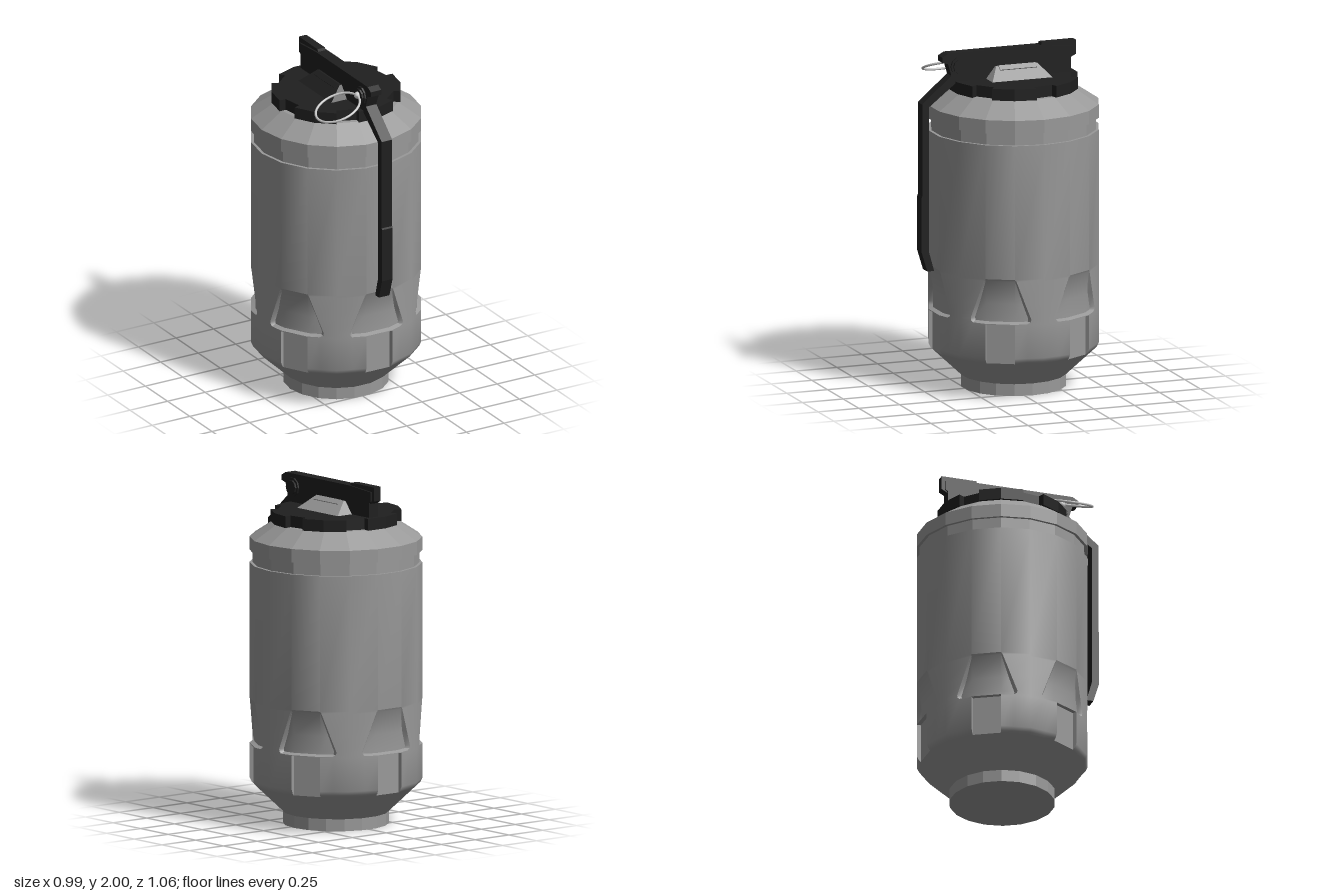
import * as THREE from 'three';
import { toCreasedNormals } from 'three/addons/utils/BufferGeometryUtils.js';

const SIDES = 18, R = 0.495, AXIS_Z = -0.045;
const rad = THREE.MathUtils.degToRad;

const shellMat = new THREE.MeshStandardMaterial({ color: 0x999999 });
const shellFlat = new THREE.MeshStandardMaterial({ color: 0x999999, flatShading: true });
const darkMat = new THREE.MeshStandardMaterial({ color: 0x1f1f1f, flatShading: true });
const wireMat = new THREE.MeshStandardMaterial({ color: 0xcccccc });

function part(parent, name, geometry, material, x = 0, y = 0, z = 0) {
  const mesh = new THREE.Mesh(geometry, material);
  mesh.name = name;
  mesh.position.set(x, y, z);
  parent.add(mesh);
  return mesh;
}

// Outline given as [z, y] pairs, extruded to a width across x
function sideExtrude(points, width) {
  const shape = new THREE.Shape(points.map(p => new THREE.Vector2(...p)));
  return new THREE.ExtrudeGeometry(shape, { depth: width, bevelEnabled: false })
    .translate(0, 0, -width / 2).rotateY(-Math.PI / 2);
}

// Body wall: one 60 degree sector with a pocket and a notch, repeated six times
function bodyGeometry() {
  const S = R * Math.sin(rad(30)), F = R * Math.sin(rad(10));
  // [y, radius, pocket outer half width, inner half width, pocket depth, notch depth]
  const rows = [
    [0.07, 0.305, 0.163, 0.152, 0, 0],
    [0.227, 0.472, 0.163, 0.152, 0, 0],
    [0.238, 0.484, 0.163, 0.152, 0, 0.012],
    [0.262, R, 0.163, 0.152, 0, 0.023],
    [0.458, R, 0.163, 0.152, 0, 0.023],
    [0.46, R, 0.163, 0.152, 0, 0],
    [0.464, R, 0.163, 0.152, 0, 0],
    [0.474, R, 0.173, 0.159, 0.026, 0.026],
    [0.49, R, 0.176, 0.163, 0.026, 0.026],
    [0.58, R, 0.143, 0.131, 0.026, 0.026],
    [0.714, R, 0.095, 0.087, 0.008, 0.008],
    [0.727, R, 0.088, 0.0862, 0, 0],
    [1.515, R, 0.088, 0.0862, 0, 0],
  ];
  // Point on the polygonal wall, pushed inward by depth
  const onWall = (x, y, r, depth) => {
    const ax = Math.abs(x);
    const t = Math.max(0, (ax - F) / (S - F));
    const z = R * THREE.MathUtils.lerp(Math.cos(rad(10)), Math.cos(rad(30)), t);
    const k = (r - depth) / R;
    return new THREE.Vector3(x * k, y, z * k);
  };
  const grid = rows.map(([y, r, xo, xi, dp, dn]) => {
    const half = [[S, 0], [xo, 0], [xi, dp], [F, dp], [F, dn]];
    const left = half.map(([x, d]) => onWall(-x, y, r, d));
    const right = half.map(([x, d]) => onWall(x, y, r, d)).reverse();
    return [...left, ...right];
  });
  const up = new THREE.Vector3(0, 1, 0), positions = [];
  const tri = new THREE.Triangle();
  for (let s = 0; s < 6; s++) {
    const ring = grid.map(row => row.map(p => p.clone().applyAxisAngle(up, s * Math.PI / 3)));
    for (let j = 0; j < ring.length - 1; j++) {
      for (let i = 0; i < ring[j].length - 1; i++) {
        const a = ring[j][i], b = ring[j][i + 1], c = ring[j + 1][i + 1], d = ring[j + 1][i];
        for (const t of [[a, b, c], [a, c, d]]) {
          if (tri.set(...t).getArea() < 1e-8) continue;
          t.forEach(p => positions.push(p.x, p.y, p.z));
        }
      }
    }
  }
  const geometry = new THREE.BufferGeometry();
  geometry.setAttribute('position', new THREE.Float32BufferAttribute(positions, 3));
  return toCreasedNormals(geometry, 0.6);
}

// Cap plate outline: six 20 degree notches around the rim
function capGeometry() {
  const points = [];
  for (let k = 0; k < 6; k++) {
    for (const [r, a] of [[0.375, 0], [0.335, 0], [0.335, 20], [0.375, 20], [0.375, 40]]) {
      const t = rad(k * 60 + a);
      points.push(new THREE.Vector2(r * Math.cos(t), r * Math.sin(t)));
    }
  }
  return new THREE.ExtrudeGeometry(new THREE.Shape(points), { depth: 0.068, bevelEnabled: false })
    .rotateX(-Math.PI / 2);
}

// Sloped block beside the bar: a box whose top corners are drawn in
function wedgeGeometry(side) {
  const g = new THREE.BoxGeometry(1, 1, 1), p = g.attributes.position;
  for (let i = 0; i < p.count; i++) {
    const top = p.getY(i) > 0, outer = p.getX(i) * side > 0, front = p.getZ(i) > 0;
    p.setXYZ(i, outer ? side * (top ? 0.05 : 0.145) : 0, top ? 1.89 : 1.815,
      front ? (top ? 0.08 : 0.14) : (top ? -0.175 : -0.235));
  }
  g.computeVertexNormals();
  return g;
}

export function createModel() {
  const model = new THREE.Group();
  model.name = 'canister';

  // Canister shell
  part(model, 'base', new THREE.CylinderGeometry(0.305, 0.305, 0.07, SIDES, 1, false, Math.PI / 2),
    shellFlat, 0, 0.035, AXIS_Z);
  part(model, 'body', bodyGeometry(), shellMat, 0, 0, AXIS_Z);
  const neck = [[R, 1.515], [0.478, 1.515], [0.478, 1.585], [R, 1.585], [R, 1.663], [0.36, 1.752], [0, 1.77]];
  part(model, 'shoulder', new THREE.LatheGeometry(neck.map(p => new THREE.Vector2(...p)), SIDES, Math.PI / 2),
    shellFlat, 0, 0, AXIS_Z);

  // Cap with sloped blocks and a raised strip on each
  part(model, 'capPlate', capGeometry(), darkMat, 0, 1.752, AXIS_Z);
  for (const side of [1, -1]) {
    const mat = side > 0 ? shellFlat : darkMat;
    const name = side > 0 ? 'left' : 'right';
    part(model, name + 'CapBlock', wedgeGeometry(side), mat);
    const strip = part(model, name + 'CapStrip', new THREE.BoxGeometry(0.034, 0.012, 0.225), mat,
      side * 0.062, 1.881, -0.047);
    strip.rotation.z = -side * 0.668;
  }

  // Top bar and safety lever
  part(model, 'topBar', sideExtrude([
    [-0.385, 1.8], [0.3, 1.8], [0.345, 1.84], [0.37, 1.925], [0.405, 1.935], [0.405, 1.965],
    [0.37, 1.985], [-0.205, 1.985], [-0.4, 1.97], [-0.4, 1.915], [-0.385, 1.905],
  ], 0.07), darkMat);
  part(model, 'rearTab', sideExtrude([
    [-0.42, 1.918], [-0.385, 1.9], [-0.24, 1.95], [-0.205, 1.985], [-0.21, 2], [-0.42, 2],
  ], 0.05), darkMat);
  part(model, 'lever', sideExtrude([
    [0.3, 1.8], [0.322, 1.81], [0.487, 1.68], [0.487, 0.83], [0.455, 0.715], [0.497, 0.715],
    [0.532, 0.83], [0.532, 1.15], [0.528, 1.16], [0.528, 1.7], [0.35, 1.855], [0.3, 1.86],
  ], 0.07), darkMat);

  // Pivot bosses on both sides of the bar
  for (const [r, width] of [[0.055, 0.09], [0.042, 0.112]]) {
    part(model, 'pivot', new THREE.CylinderGeometry(r, r, width, 10).rotateZ(Math.PI / 2),
      darkMat, 0, 1.908, 0.3);
  }

  // Pull ring and its pin
  part(model, 'pinHead', new THREE.SphereGeometry(0.021, 12, 8), wireMat, -0.06, 1.912, 0.298);
  part(model, 'pullRing', new THREE.TorusGeometry(0.134, 0.007, 8, 28).rotateX(Math.PI / 2).rotateZ(0.38),
    wireMat, -0.191, 1.864, 0.297);

  return model;
}
